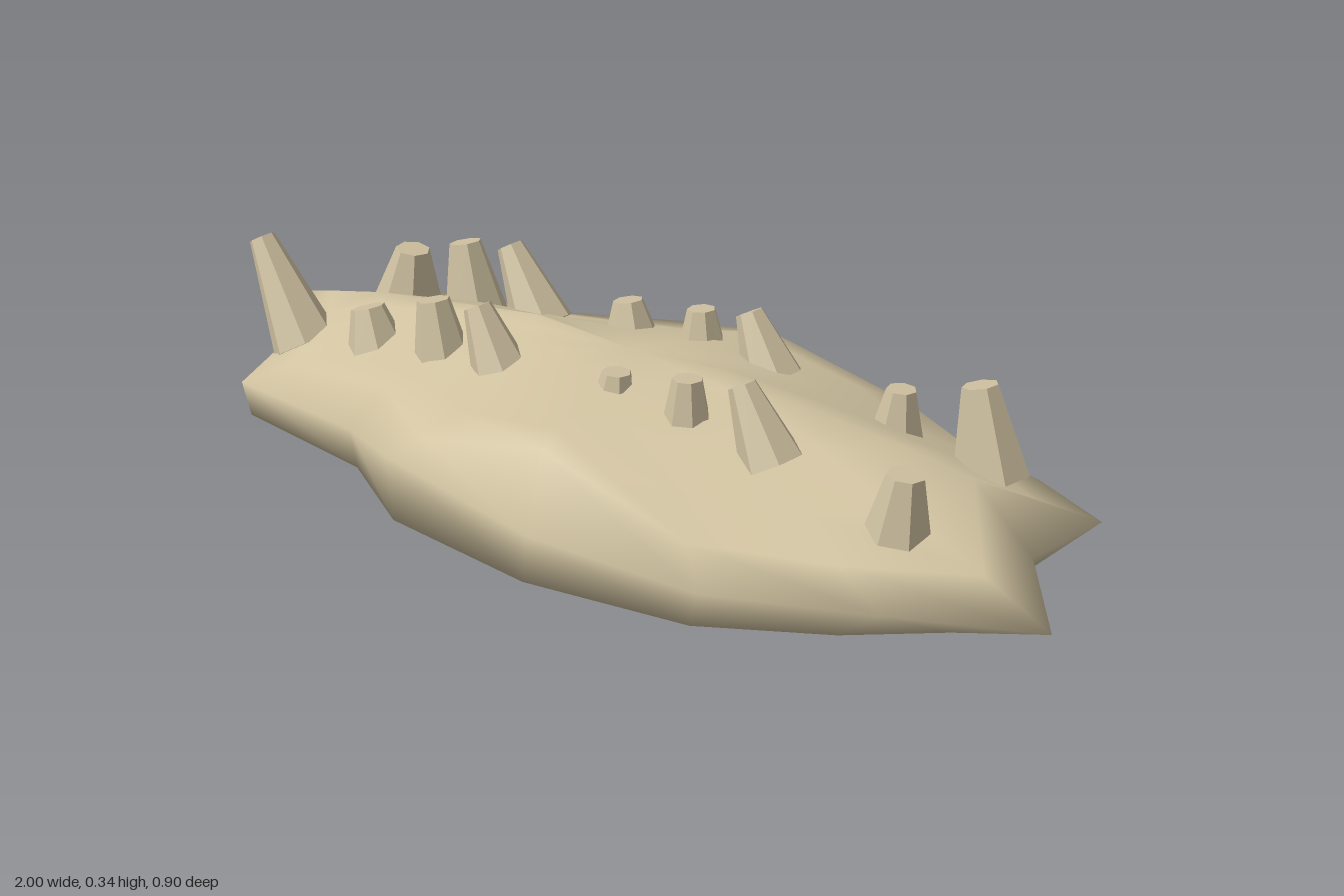
import * as THREE from 'three';

const sand = new THREE.MeshStandardMaterial({ color: 0xd0c2a0 });
sand.name = 'sand';
const spikeSand = new THREE.MeshStandardMaterial({ color: 0xcdbf9f, flatShading: true });
spikeSand.name = 'spikeSand';

// Widest outline of the mound: x, z, height, scale of the ground outline beneath it
const rim = [
  [-1, -0.02, 0.15, 0.93], [-0.9, 0.07, 0.09, 1], [-0.82, 0.27, 0.07, 0.98], [-0.45, 0.31, 0.08, 0.98],
  [-0.22, 0.43, 0.13, 0.98], [0.13, 0.43, 0.08, 1.04], [0.5, 0.42, 0.09, 0.91], [0.77, 0.29, 0.09, 0.86],
  [1, 0.15, 0.08, 0.8], [0.86, -0.03, 0.1, 0.9], [0.9, -0.19, 0.12, 0.87], [0.7, -0.33, 0.09, 0.95],
  [0.45, -0.43, 0.07, 0.94], [0.1, -0.39, 0.12, 0.98], [-0.21, -0.45, 0.145, 0.9], [-0.5, -0.37, 0.12, 1.07],
  [-0.84, -0.33, 0.1, 0.95], [-0.98, -0.19, 0.07, 0.97], [-0.91, -0.1, 0.1, 0.98],
];

// Upper surface: a long ridge whose flanks are steeper away from the middle
function ridgeHeight(x, z) {
  const crest = 0.28 * (1 - 0.5 * Math.abs(x) ** 2.5);
  const slope = 0.4 - 0.25 * Math.exp(-(((x - 0.08) / 0.25) ** 2));
  return crest - Math.abs(z) * slope;
}

function moundGeometry() {
  const n = rim.length;
  const points = [[0, 0.265, -0.01]];
  const addRing = (fn) => points.push(...rim.map(fn));
  for (const s of [0.25, 0.5, 0.7, 0.86]) {
    addRing(([x, z], i) => [x * s, ridgeHeight(x * s, z * s) + 0.006 * Math.sin(i * 2.1 + s * 9), z * s]);
  }
  addRing(([x, z, y]) => [x, y, z]);
  addRing(([x, z, , s]) => [x * s, 0, z * s]);
  points.push([0, 0, 0]);

  const index = [];
  const at = (r, i) => 1 + r * n + (i % n);
  const last = points.length - 1;
  for (let i = 0; i < n; i++) {
    index.push(0, at(0, i), at(0, i + 1));
    for (let r = 0; r < 5; r++) {
      index.push(at(r, i), at(r + 1, i), at(r + 1, i + 1));
      index.push(at(r, i), at(r + 1, i + 1), at(r, i + 1));
    }
    index.push(at(5, i), last, at(5, i + 1));
  }
  const geo = new THREE.BufferGeometry();
  geo.setAttribute('position', new THREE.Float32BufferAttribute(points.flat(), 3));
  geo.setIndex(index);
  geo.computeVertexNormals();
  return geo;
}

// Blunt spikes: base x, base y, tip x, tip y, base radius, tip radius
const frontRow = [
  [-0.78, 0.12, -0.9, 0.33, 0.073, 0.028], [-0.56, 0.155, -0.585, 0.25, 0.065, 0.035],
  [-0.37, 0.17, -0.395, 0.31, 0.062, 0.033], [-0.21, 0.19, -0.275, 0.325, 0.062, 0.028],
  [0.07, 0.2, 0.075, 0.28, 0.05, 0.027], [0.24, 0.2, 0.24, 0.31, 0.05, 0.028],
  [0.43, 0.2, 0.36, 0.33, 0.06, 0.026], [0.69, 0.15, 0.7, 0.26, 0.06, 0.033],
];
const backRow = [
  [-0.78, 0.14, -0.76, 0.26, 0.075, 0.037], [-0.57, 0.15, -0.6, 0.31, 0.07, 0.034],
  [-0.38, 0.175, -0.47, 0.33, 0.067, 0.028], [-0.14, 0.21, -0.15, 0.285, 0.055, 0.03],
  [0.04, 0.21, 0.035, 0.31, 0.053, 0.028], [0.21, 0.21, 0.15, 0.33, 0.06, 0.027],
  [0.49, 0.17, 0.495, 0.265, 0.052, 0.028], [0.69, 0.15, 0.655, 0.315, 0.07, 0.033],
];

function addSpikes(group, row, z, name) {
  row.forEach(([bx, by, tx, ty, rBase, rTip], i) => {
    const axis = new THREE.Vector3(tx - bx, ty - by, 0);
    const length = axis.length();
    const spike = new THREE.Mesh(new THREE.CylinderGeometry(rTip, rBase, length, 7), spikeSand);
    spike.position.set((bx + tx) / 2, (by + ty) / 2, z);
    spike.quaternion.setFromUnitVectors(new THREE.Vector3(0, 1, 0), axis.normalize());
    spike.name = `${name}${i + 1}`;
    group.add(spike);
  });
}

export function createModel() {
  const group = new THREE.Group();
  group.name = 'spikedMound';

  const mound = new THREE.Mesh(moundGeometry(), sand);
  mound.name = 'mound';
  group.add(mound);

  addSpikes(group, frontRow, 0.125, 'frontSpike');
  addSpikes(group, backRow, -0.172, 'backSpike');
  return group;
}
